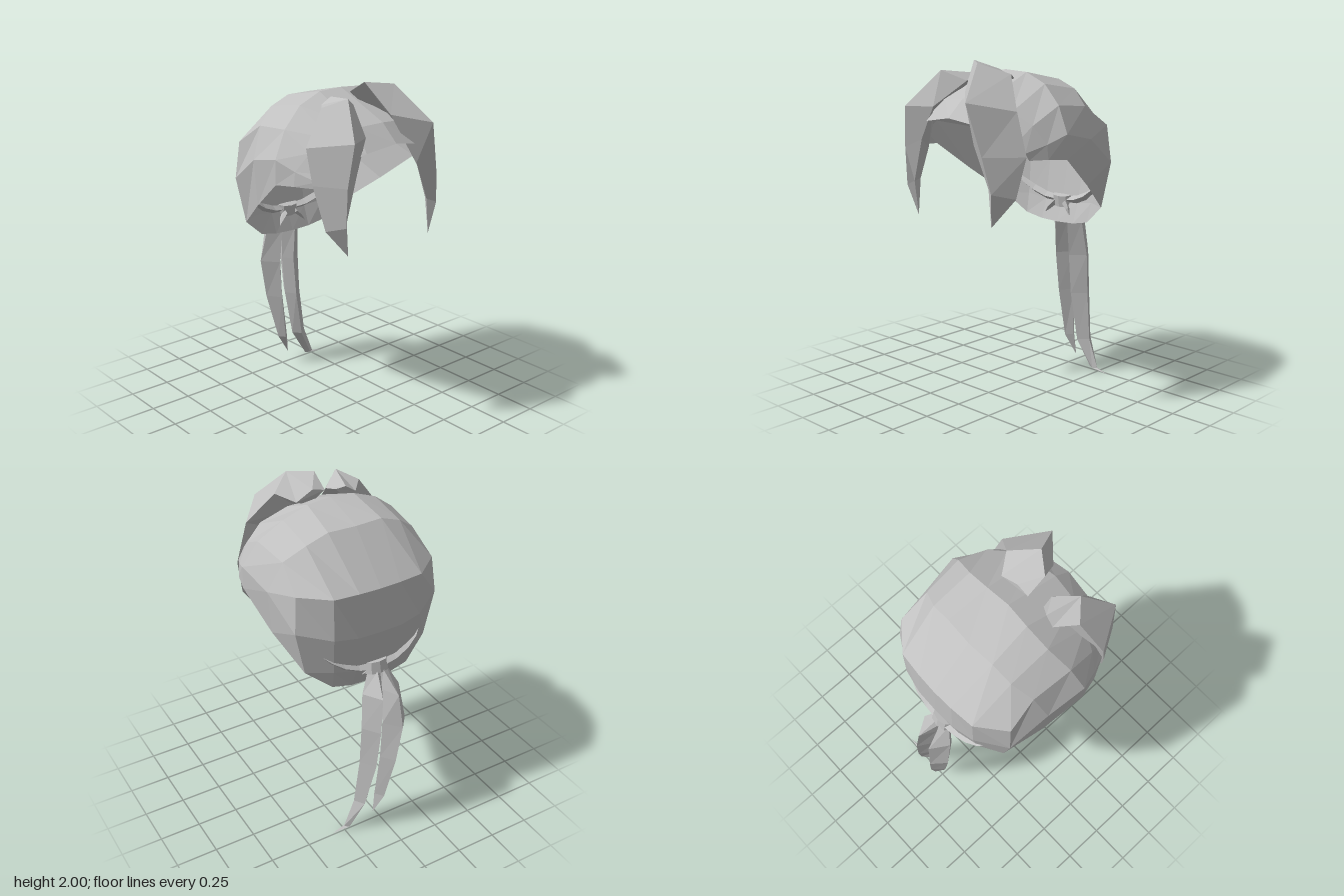
import * as THREE from 'three';

const hair = new THREE.MeshStandardMaterial({ color: 0xc0c0c0, flatShading: true, side: THREE.DoubleSide });
hair.name = 'hair grey';

function meshFrom(name, points, index) {
  const g = new THREE.BufferGeometry();
  g.setAttribute('position', new THREE.Float32BufferAttribute(points.flat(), 3));
  g.setIndex(index);
  g.computeVertexNormals();
  const m = new THREE.Mesh(g, hair);
  m.name = name;
  return m;
}

// Open sheet: each row runs from the centre line to the left side and is mirrored
function mirroredSheet(name, rows) {
  const full = rows.map(r => [...r.slice(1).reverse().map(([x, y, z]) => [-x, y, z]), ...r]);
  const n = full[0].length, index = [];
  for (let i = 0; i < full.length - 1; i++)
    for (let j = 0; j < n - 1; j++) {
      const a = i * n + j, b = a + 1, c = a + n, d = c + 1;
      index.push(a, b, c, b, d, c);
    }
  return meshFrom(name, full.flat(), index);
}

// Closed lock of hair: loft through rings, ending in a point
function lock(name, rings, tip) {
  const n = rings[0].length, pts = [...rings.flat(), tip], last = pts.length - 1, index = [];
  for (let i = 0; i < rings.length; i++)
    for (let j = 0; j < n; j++) {
      const k = (j + 1) % n, a = i * n + j, b = i * n + k;
      if (i === rings.length - 1) index.push(a, b, last);
      else index.push(a, b, a + n, b, b + n, a + n);
    }
  for (let j = 1; j < n - 1; j++) index.push(0, j + 1, j);
  // Turn the faces outward if the volume is negative
  let volume = 0;
  const v = pts.map(p => new THREE.Vector3(...p));
  for (let i = 0; i < index.length; i += 3)
    volume += v[index[i]].dot(v[index[i + 1]].clone().cross(v[index[i + 2]]));
  if (volume < 0) index.reverse();
  return meshFrom(name, pts, index);
}

// Level ring from [x, z] pairs
const level = (y, ...xz) => xz.map(([x, z]) => [x, y, z]);

export function createModel() {
  const group = new THREE.Group();
  group.name = 'hairstyle';

  // Cap: crown and sides, from the front rim to the back crease
  const crease = [[0, 1.62, -.45], [.13, 1.62, -.445], [.28, 1.62, -.43], [.44, 1.62, -.3], [.46, 1.4, -.32], [.4, 1.12, -.31]];
  group.add(mirroredSheet('crown', [
    [[0, 1.69, .55], [.2, 1.66, .53], [.31, 1.61, .48], [.39, 1.56, .44], [.44, 1.52, .4], [.45, 1.48, .38]],
    [[0, 1.79, .44], [.17, 1.78, .42], [.31, 1.73, .37], [.42, 1.66, .32], [.49, 1.56, .28], [.5, 1.48, .28]],
    [[0, 1.94, .09], [.15, 1.93, .08], [.3, 1.87, .09], [.44, 1.76, .13], [.53, 1.61, .16], [.53, 1.47, .16]],
    [[0, 1.88, -.19], [.17, 1.88, -.18], [.3, 1.83, -.17], [.42, 1.74, -.12], [.5, 1.56, -.08], [.48, 1.29, -.08]],
    crease,
  ]));
  // Cap: back of the head down to the nape
  group.add(mirroredSheet('backOfHead', [
    crease.slice(0, 4),
    [[0, 1.35, -.465], [.14, 1.35, -.46], [.28, 1.36, -.43], [.46, 1.4, -.32]],
    [[0, 1.1, -.42], [.13, 1.1, -.415], [.26, 1.12, -.39], [.4, 1.12, -.31]],
    [[0, .97, -.37], [.13, .975, -.37], [.25, 1, -.36], [.4, 1.12, -.31]],
  ]));

  // Front locks: rings run inner edge, ridge, outer edge, back
  group.add(lock('leftFringe', [
    [[-.03, 1.93, .2], [.05, 1.95, .2], [.16, 1.9, .19], [.06, 1.85, .22]],
    [[-.03, 2, .32], [.1, 1.99, .42], [.24, 1.93, .3], [.1, 1.82, .28]],
    [[.04, 1.83, .46], [.21, 1.79, .62], [.38, 1.74, .4], [.22, 1.68, .38]],
    [[.18, 1.55, .53], [.29, 1.5, .58], [.45, 1.5, .4], [.34, 1.48, .38]],
    [[.28, 1.32, .52], [.33, 1.3, .55], [.41, 1.27, .44], [.36, 1.3, .43]],
  ], [.3, 1.11, .52]));
  group.add(lock('rightFringe', [
    [[-.12, 1.9, .23], [-.17, 1.92, .2], [-.23, 1.88, .19], [-.18, 1.84, .22]],
    [[-.1, 1.88, .31], [-.22, 1.94, .4], [-.32, 1.89, .3], [-.22, 1.78, .28]],
    [[-.18, 1.74, .5], [-.33, 1.74, .58], [-.47, 1.7, .35], [-.33, 1.66, .36]],
    [[-.26, 1.55, .52], [-.36, 1.5, .56], [-.46, 1.5, .39], [-.36, 1.48, .38]],
    [[-.33, 1.3, .52], [-.36, 1.28, .55], [-.42, 1.25, .45], [-.38, 1.3, .43]],
  ], [-.31, 1.1, .51]));

  // Ponytail: two locks, rings run front, left, back, right
  group.add(lock('ponytailLongLock', [
    level(1.09, [.02, -.4], [.06, -.43], [.02, -.47], [-.02, -.43]),
    level(.97, [.05, -.41], [.12, -.47], [.05, -.58], [0, -.48]),
    level(.75, [.05, -.43], [.14, -.5], [.07, -.6], [.01, -.5]),
    level(.5, [.07, -.43], [.15, -.5], [.09, -.59], [.03, -.5]),
    level(.2, [.12, -.44], [.18, -.49], [.14, -.55], [.08, -.49]),
    level(.02, [.22, -.475], [.25, -.49], [.22, -.51], [.19, -.49]),
  ], [.33, .0, -.49]));
  group.add(lock('ponytailShortLock', [
    level(1.09, [-.02, -.4], [.02, -.43], [-.02, -.47], [-.06, -.43]),
    level(.97, [-.05, -.41], [0, -.48], [-.05, -.59], [-.12, -.48]),
    level(.75, [-.06, -.43], [.01, -.52], [-.07, -.615], [-.14, -.53]),
    level(.5, [-.04, -.44], [.02, -.52], [-.04, -.6], [-.1, -.53]),
    level(.2, [0, -.46], [.04, -.5], [0, -.55], [-.03, -.5]),
  ], [.055, .065, -.51]));

  // Hair tie
  const tie = new THREE.Mesh(new THREE.CylinderGeometry(.07, .075, .07, 8), hair);
  tie.name = 'hairTie';
  tie.scale.z = .6;
  tie.rotation.x = .2;
  tie.position.set(0, 1.105, -.425);
  group.add(tie);

  // Gathered strands and loose ends on both sides of the tie
  for (const s of [1, -1]) {
    const diamond = (x, y, z, h, d) => [[s * x, y + h, z], [s * x, y, z + d], [s * x, y - h, z], [s * x, y, z - d]];
    group.add(lock(s > 0 ? 'leftStrand' : 'rightStrand', [
      diamond(.05, 1.11, -.425, .022, .03),
      diamond(.12, 1.12, -.415, .025, .035),
      diamond(.21, 1.155, -.4, .025, .035),
      diamond(.28, 1.2, -.38, .018, .03),
    ], [s * .34, 1.25, -.36]));
    group.add(lock(s > 0 ? 'leftLooseEnd' : 'rightLooseEnd', [
      diamond(.04, 1.09, -.4, .02, .03),
      diamond(.075, 1.055, -.385, .015, .02),
    ], [s * .1, 1.02, -.37]));
  }
  return group;
}
